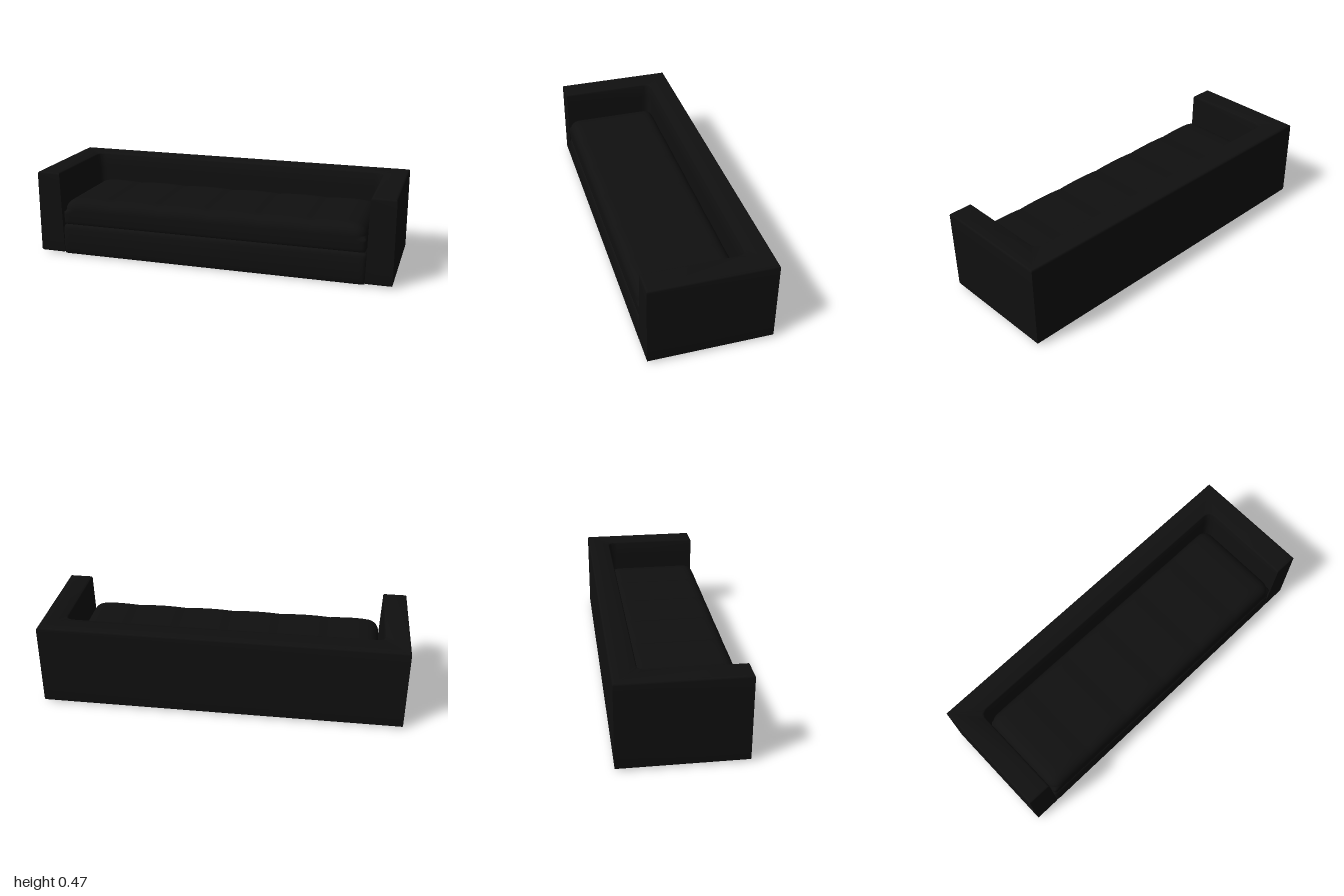
import * as THREE from 'three';
import { mergeVertices, toCreasedNormals } from 'three/addons/utils/BufferGeometryUtils.js';

const leather = new THREE.MeshStandardMaterial({ color: 0x101010 });

// Moves every vertex of a geometry by a rule
function deform(geometry, rule) {
  const p = geometry.attributes.position;
  const v = new THREE.Vector3();
  for (let i = 0; i < p.count; i++) {
    rule(v.fromBufferAttribute(p, i));
    p.setXYZ(i, v.x, v.y, v.z);
  }
  return geometry;
}

// Subdivided box with separate edge radii for its top and bottom halves
function softBox(w, h, d, rTop, rBottom) {
  const box = new THREE.BoxGeometry(w, h, d, 96, 12, 32);
  box.deleteAttribute('uv');
  box.deleteAttribute('normal');
  const core = new THREE.Vector3();
  return deform(mergeVertices(box), (v) => {
    const r = v.y > 0 ? rTop : rBottom;
    core.set(
      THREE.MathUtils.clamp(v.x, r - w / 2, w / 2 - r),
      THREE.MathUtils.clamp(v.y, r - h / 2, h / 2 - r),
      THREE.MathUtils.clamp(v.z, r - d / 2, d / 2 - r)
    );
    v.sub(core).setLength(r).add(core);
  });
}

// U-shaped plan of the arms and back, drawn with y as -z
function framePlan(b) {
  const o = 1 - b, back = 0.335 - b, front = -0.33 + b;
  const ix = 0.862 + b, iz = 0.2 + b, r = 0.06;
  const s = new THREE.Shape();
  s.moveTo(-o, front);
  s.lineTo(-ix, front);
  s.lineTo(-ix, iz - r);
  s.quadraticCurveTo(-ix, iz, -ix + r, iz);
  s.lineTo(ix - r, iz);
  s.quadraticCurveTo(ix, iz, ix, iz - r);
  s.lineTo(ix, front);
  s.lineTo(o, front);
  s.lineTo(o, back);
  s.lineTo(-o, back);
  s.closePath();
  return s;
}

export function createModel() {
  const sofa = new THREE.Group();
  sofa.name = 'sofa';
  const add = (name, geometry, y, z) => {
    const mesh = new THREE.Mesh(geometry, leather);
    mesh.name = name;
    mesh.position.set(0, y, z);
    sofa.add(mesh);
  };

  // Arms and back in one piece, inner faces leaning outward to the top
  const b = 0.012;
  const frame = new THREE.ExtrudeGeometry(framePlan(b), {
    depth: 0.467 - 2 * b, steps: 6, curveSegments: 8,
    bevelEnabled: true, bevelThickness: b, bevelSize: b, bevelSegments: 4,
  });
  frame.rotateX(-Math.PI / 2).translate(0, b, 0);
  deform(frame, (v) => {
    const lean = 0.012 * (v.y / 0.467 - 0.5);
    if (Math.abs(v.x) < 0.92 && v.z > -0.29) {
      if (Math.abs(v.x) > 0.78) v.x += Math.sign(v.x) * lean;
      if (v.z < -0.1) v.z -= lean;
    }
  });
  add('armsAndBack', toCreasedNormals(frame, 0.7), 0.008, 0);

  // Seat base, front swelling slightly; stops short of the back
  const base = deform(softBox(1.716, 0.175, 0.437, 0.015, 0.012), (v) => {
    if (v.z > 0.15) v.z += 0.008 * Math.max(0, 1 - (v.y / 0.0875) ** 2);
  });
  base.computeVertexNormals();
  add('seatBase', base, 0.0875, 0.1085);

  // Long cushion with six padded panels
  const cushion = deform(softBox(1.708, 0.148, 0.535, 0.06, 0.015), (v) => {
    if (v.y > 0) {
      const up = v.y / 0.074;
      const puff = Math.abs(Math.sin((v.x / 0.285) * Math.PI)) ** 0.7;
      const end = Math.max(0, (Math.abs(v.x) - 0.7) / 0.154);
      v.y += up * (0.008 * (puff - 1) + 0.004 - 0.012 * end * end);
    }
    if (v.z > 0.2) v.z += 0.003 * Math.max(0, 1 - (v.y / 0.074) ** 2);
  });
  cushion.computeVertexNormals();
  add('seatCushion', cushion, 0.249, 0.0605);

  return sofa;
}
